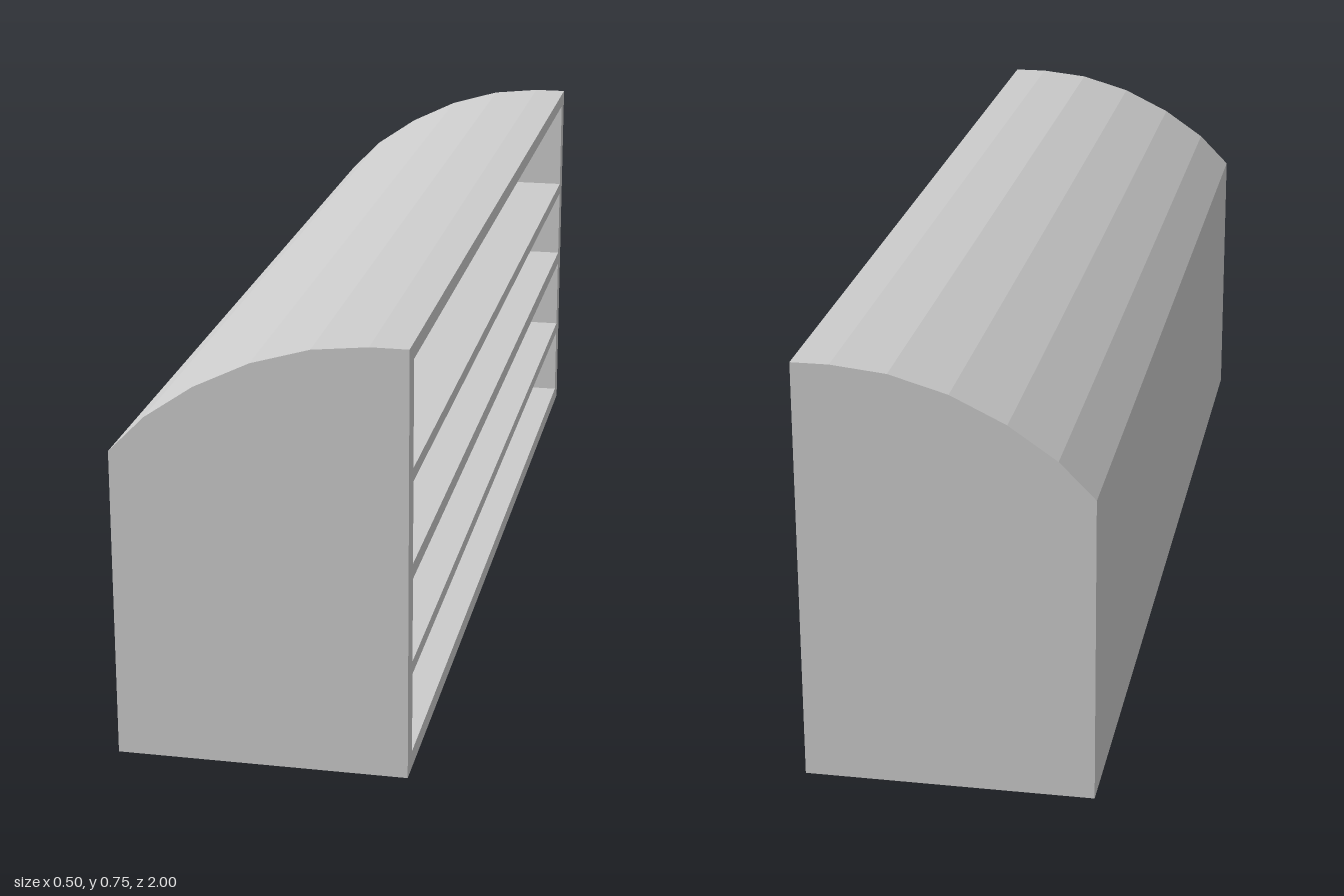
import * as THREE from 'three';

const HALF_LENGTH = 1;
const PANEL = 0.04; // end panel thickness
const FRONT = 0.25; // open side
const BACK = -0.25; // closed side
const INNER_BACK = -0.22;

// Roof curve, from the open side down to the closed side
const ROOF = [[FRONT, 0.75], [0.185, 0.75], [0.09, 0.74], [-0.01, 0.711],
  [-0.105, 0.665], [-0.188, 0.608], [BACK, 0.545]];
const CEILING = [[INNER_BACK, 0.537], [-0.17, 0.582], [-0.093, 0.638], [-0.003, 0.683],
  [0.094, 0.712], [0.185, 0.722], [FRONT, 0.722]];

export function createModel() {
  const group = new THREE.Group();
  const material = new THREE.MeshStandardMaterial({ color: 0xcccccc, flatShading: true });

  const add = (name, geometry, x, y, z) => {
    const mesh = new THREE.Mesh(geometry, material);
    mesh.name = name;
    mesh.position.set(x, y, z);
    group.add(mesh);
  };

  // Extrudes an x-y outline along z, starting at z = start
  const addProfile = (name, points, length, start) => {
    const shape = new THREE.Shape(points.map(([x, y]) => new THREE.Vector2(x, y)));
    const geometry = new THREE.ExtrudeGeometry(shape, { depth: length, bevelEnabled: false });
    add(name, geometry, 0, 0, start);
  };

  const innerLength = 2 * (HALF_LENGTH - PANEL);

  // Bottom, closed side and curved roof in one C-shaped shell
  addProfile('shell', [
    ...ROOF, [BACK, 0], [FRONT, 0], [FRONT, 0.03], [INNER_BACK, 0.03], ...CEILING,
  ], innerLength, -innerLength / 2);

  // Solid end panels
  const endOutline = [...ROOF, [BACK, 0], [FRONT, 0]];
  addProfile('frontEndPanel', endOutline, PANEL, HALF_LENGTH - PANEL);
  addProfile('backEndPanel', endOutline, PANEL, -HALF_LENGTH);

  // Shelves, as bottom and top heights
  const depth = FRONT - INNER_BACK;
  [[0.172, 0.195], [0.343, 0.37], [0.514, 0.537]].forEach(([low, high], i) => {
    add(`shelf${i + 1}`, new THREE.BoxGeometry(depth, high - low, innerLength),
      (FRONT + INNER_BACK) / 2, (low + high) / 2, 0);
  });

  return group;
}
